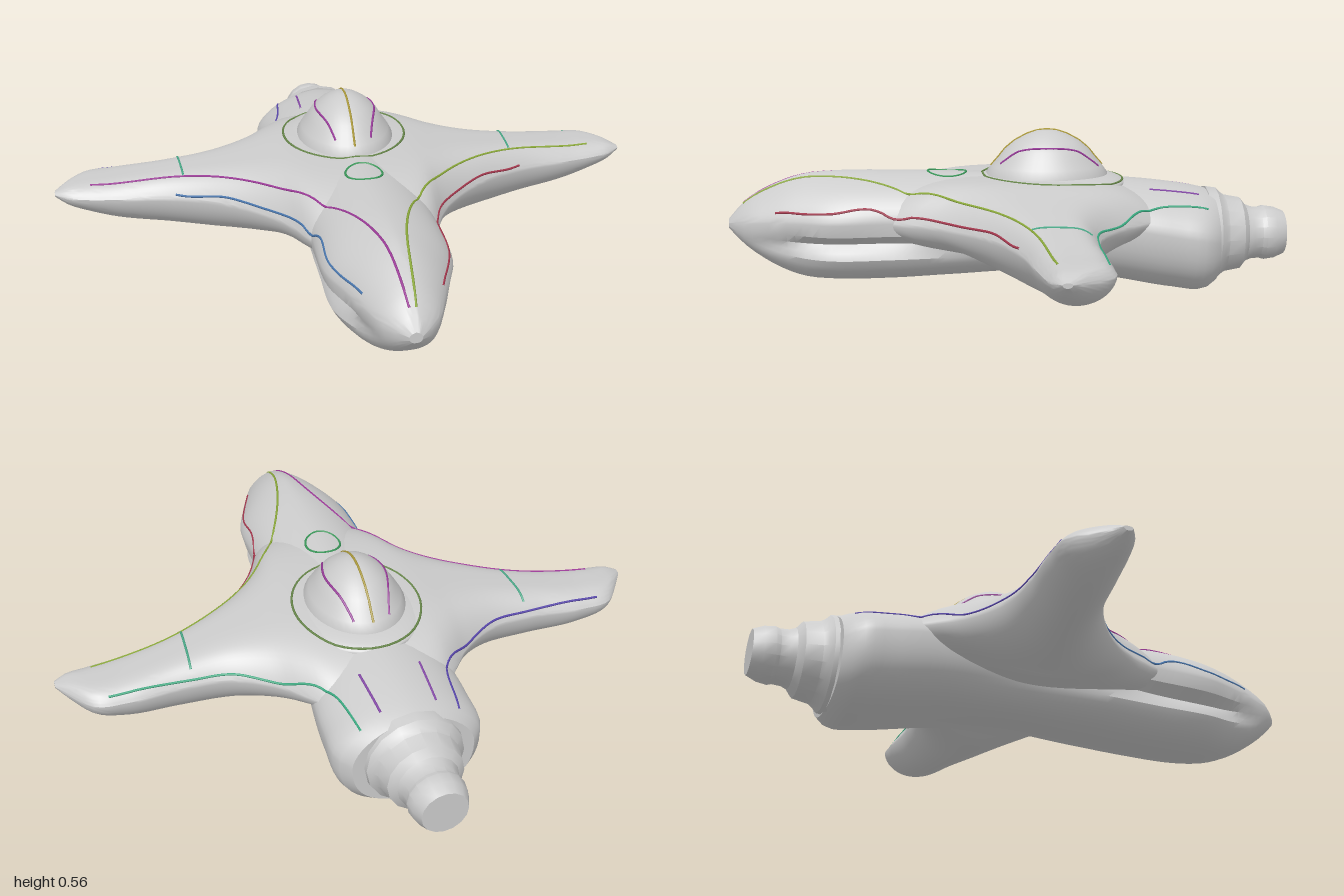
import * as THREE from 'three';
import { toCreasedNormals } from 'three/addons/utils/BufferGeometryUtils.js';

const grey = new THREE.MeshStandardMaterial({ color: 0xcccccc });

// Smoothly resample rows of [station, ...values]
function resample(rows, stations) {
  const n = rows[0].length;
  const curve = new THREE.CubicInterpolant(rows.map(r => r[0]), rows.flat(), n, new Float32Array(n));
  return stations.map(s => Array.from(curve.evaluate(s)));
}

const range = (a, b, n) => Array.from({ length: n + 1 }, (_, i) => a + (b - a) * i / n);

// Skin a list of closed rings of [x, y, z], with fan caps
function loft(rings, crease = 0.6) {
  const m = rings[0].length, pos = rings.flat(2), idx = [];
  for (let i = 0; i < rings.length - 1; i++) {
    for (let j = 0; j < m; j++) {
      const a = i * m + j, b = i * m + (j + 1) % m;
      idx.push(a, b, a + m, b, b + m, a + m);
    }
  }
  const last = (rings.length - 1) * m;
  for (let j = 1; j < m - 1; j++) idx.push(0, j + 1, j, last, last + j, last + j + 1);
  // Turn the skin outward if its signed volume is negative
  const p = i => new THREE.Vector3().fromArray(pos, i * 3);
  let volume = 0;
  for (let i = 0; i < idx.length; i += 3) volume += p(idx[i]).dot(p(idx[i + 1]).cross(p(idx[i + 2])));
  if (volume < 0) idx.reverse();
  const g = new THREE.BufferGeometry();
  g.setAttribute('position', new THREE.Float32BufferAttribute(pos, 3));
  g.setIndex(idx);
  return toCreasedNormals(g, crease);
}

// Fuselage: z, half width, top, edge height, bottom, side groove
function fuselageGeometry() {
  const rows = [
    [-0.70, 0.20, 0.335, 0.19, 0.025, 0], [-0.665, 0.235, 0.345, 0.20, 0.003, 0],
    [-0.55, 0.245, 0.365, 0.22, 0.01, 0], [-0.35, 0.23, 0.385, 0.25, 0.045, 0],
    [-0.10, 0.185, 0.400, 0.26, 0.07, 0], [0.20, 0.205, 0.410, 0.27, 0.06, 0.1],
    [0.40, 0.205, 0.415, 0.27, 0.05, 0.22], [0.60, 0.20, 0.415, 0.265, 0.05, 0.25],
    [0.70, 0.165, 0.405, 0.265, 0.06, 0.2], [0.80, 0.125, 0.370, 0.26, 0.10, 0.1],
    [0.90, 0.075, 0.310, 0.25, 0.17, 0], [0.95, 0.02, 0.255, 0.24, 0.22, 0],
  ];
  const rings = resample(rows, range(-0.7, 0.95, 56)).map(([z, w, top, edge, bottom, groove]) =>
    range(0, Math.PI * 2, 48).slice(0, -1).map(a => {
      const c = Math.cos(a), s = Math.sin(a);
      // Upper half sharpens to a ridge at the nose, lower half is fully rounded
      const e = s > 0 ? 1.12 + 0.2 * THREE.MathUtils.smoothstep(z, 0.4, 0.7) : 0.8;
      const y = edge + (s > 0 ? top - edge : edge - bottom) * Math.sign(s) * Math.abs(s) ** e;
      const pinch = 1 - groove * Math.exp(-(((y - 0.19) / 0.025) ** 2));
      return [w * Math.sign(c) * Math.abs(c) ** e * pinch, y, z];
    }));
  return loft(rings);
}

// Wings: x, front z, back z, top, edge height, bottom
function wingGeometry() {
  const rows = [
    [0, 0.50, -0.54, 0.400, 0.27, 0.12], [0.15, 0.46, -0.52, 0.400, 0.27, 0.15],
    [0.20, 0.40, -0.49, 0.397, 0.27, 0.155], [0.25, 0.29, -0.43, 0.390, 0.27, 0.15],
    [0.32, 0.19, -0.35, 0.377, 0.27, 0.127], [0.45, 0.08, -0.27, 0.355, 0.27, 0.118],
    [0.62, 0.00, -0.25, 0.328, 0.265, 0.13], [0.80, -0.035, -0.26, 0.306, 0.26, 0.155],
    [0.90, -0.05, -0.245, 0.300, 0.262, 0.19], [0.96, -0.065, -0.175, 0.292, 0.266, 0.225],
    [1.00, -0.09, -0.12, 0.275, 0.27, 0.26],
  ];
  const half = resample(rows, range(0, 1, 50));
  const stations = [...half.slice(1).reverse().map(([x, ...v]) => [-x, ...v]), ...half];
  const rings = stations.map(([x, front, back, top, edge, bottom]) => {
    const mid = (front + back) / 2, h = (front - back) / 2;
    // Flat deck above, rounded keel across the whole chord below
    return range(0, Math.PI * 2, 64).slice(0, -1).map(a => {
      const u = Math.cos(a), s = Math.sin(a);
      const y = s >= 0 ? edge + (top - edge) * (1 - u ** 4) : edge - (edge - bottom) * (-s) ** 1.1;
      return [x, y, mid + u * h];
    });
  });
  return loft(rings);
}

export function createModel() {
  const model = new THREE.Group();
  model.name = 'starship';
  const add = (name, geometry, material = grey) => {
    const mesh = new THREE.Mesh(geometry, material);
    mesh.name = name;
    model.add(mesh);
    return mesh;
  };
  const lathe = (profile, sides, crease) => toCreasedNormals(
    new THREE.LatheGeometry(profile.map(([r, h]) => new THREE.Vector2(r, h)), sides), crease);

  const hull = [add('fuselage', fuselageGeometry()), add('wings', wingGeometry())];

  // Bell-shaped cockpit dome on a shallow oval base
  const base = add('domeBase', new THREE.SphereGeometry(1, 40, 10, 0, Math.PI * 2, 0, Math.PI / 2));
  base.scale.set(0.22, 0.045, 0.25);
  base.position.set(0, 0.37, -0.15);
  const dome = add('dome', lathe([[1, -0.2], [0.99, 0.05], [0.9, 0.22], [0.77, 0.42], [0.68, 0.58],
    [0.52, 0.76], [0.33, 0.9], [0.16, 0.98], [0, 1]], 40, 0.6));
  dome.scale.set(0.165, 0.155, 0.21);
  dome.position.set(0, 0.396, -0.13);
  hull.push(base, dome);

  // Stepped tail engine
  const engine = add('tailEngine', lathe([[0, 0.68], [0.165, 0.68], [0.16, 0.715], [0.145, 0.73], [0.135, 0.745],
    [0.125, 0.80], [0.1, 0.82], [0.092, 0.84], [0.09, 0.87], [0.095, 0.885], [0.09, 0.92],
    [0.075, 0.955], [0, 0.955]], 16, 0.5));
  engine.rotation.x = -Math.PI / 2;
  engine.position.y = 0.183;

  // Seams: thin coloured lines dropped onto the top of the hull
  model.updateMatrixWorld(true);
  const ray = new THREE.Raycaster(), down = new THREE.Vector3(0, -1, 0);
  const seam = (name, color, points, closed = false) => {
    const path = new THREE.CatmullRomCurve3(points.map(([x, z]) => new THREE.Vector3(x, 0, z)), closed);
    const onHull = path.getPoints(28).map(q => {
      ray.set(new THREE.Vector3(q.x, 2, q.z), down);
      const hit = ray.intersectObjects(hull, false)[0];
      return hit ? hit.point : null;
    }).filter(Boolean);
    if (closed) onHull.pop();
    const curve = new THREE.CatmullRomCurve3(onHull, closed);
    add(name, new THREE.TubeGeometry(curve, 48, 0.004, 5, closed),
      new THREE.MeshStandardMaterial({ color }));
  };
  const oval = (rx, rz, cz) => range(0, Math.PI * 2, 16).slice(0, -1)
    .map(a => [rx * Math.cos(a), cz + rz * Math.sin(a)]);
  for (const s of [1, -1]) {
    const side = s > 0 ? 'left' : 'right';
    const mirror = points => points.map(([x, z]) => [s * x, z]);
    seam(side + 'DeckSeam', s > 0 ? 0x8fae3c : 0xa03c9c,
      mirror([[0.88, -0.09], [0.58, -0.04], [0.36, 0.08], [0.2, 0.26], [0.1, 0.45], [0.04, 0.65], [0.01, 0.9]]));
    seam(side + 'EdgeSeam', s > 0 ? 0xa83a50 : 0x4a78b0,
      mirror([[0.6, 0], [0.44, 0.075], [0.31, 0.19], [0.235, 0.3], [0.19, 0.45], [0.185, 0.6], [0.12, 0.78]]));
    seam(side + 'RearSeam', s > 0 ? 0x3cae84 : 0x5a48b0,
      mirror([[0.85, -0.24], [0.6, -0.24], [0.45, -0.26], [0.3, -0.36], [0.2, -0.46], [0.16, -0.66]]));
    seam(side + 'WingPanelSeam', 0x4cae8c, mirror([[0.58, -0.22], [0.57, -0.04]]));
    seam(side + 'TailPanelSeam', 0x8a4cae, mirror([[0.1, -0.47], [0.09, -0.64]]));
    seam(side + 'DomeRib', 0x9a3c9c, mirror([[0.06, -0.3], [0.1, -0.13], [0.06, 0.03]]));
  }
  seam('domeRing', 0x6a8a4c, oval(0.21, 0.24, -0.15), true);
  seam('domeSpine', 0xae9c3c, [[0, -0.32], [0, -0.13], [0, 0.06]]);
  seam('portRing', 0x3c9c5c, oval(0.06, 0.065, 0.21), true);
  return model;
}
